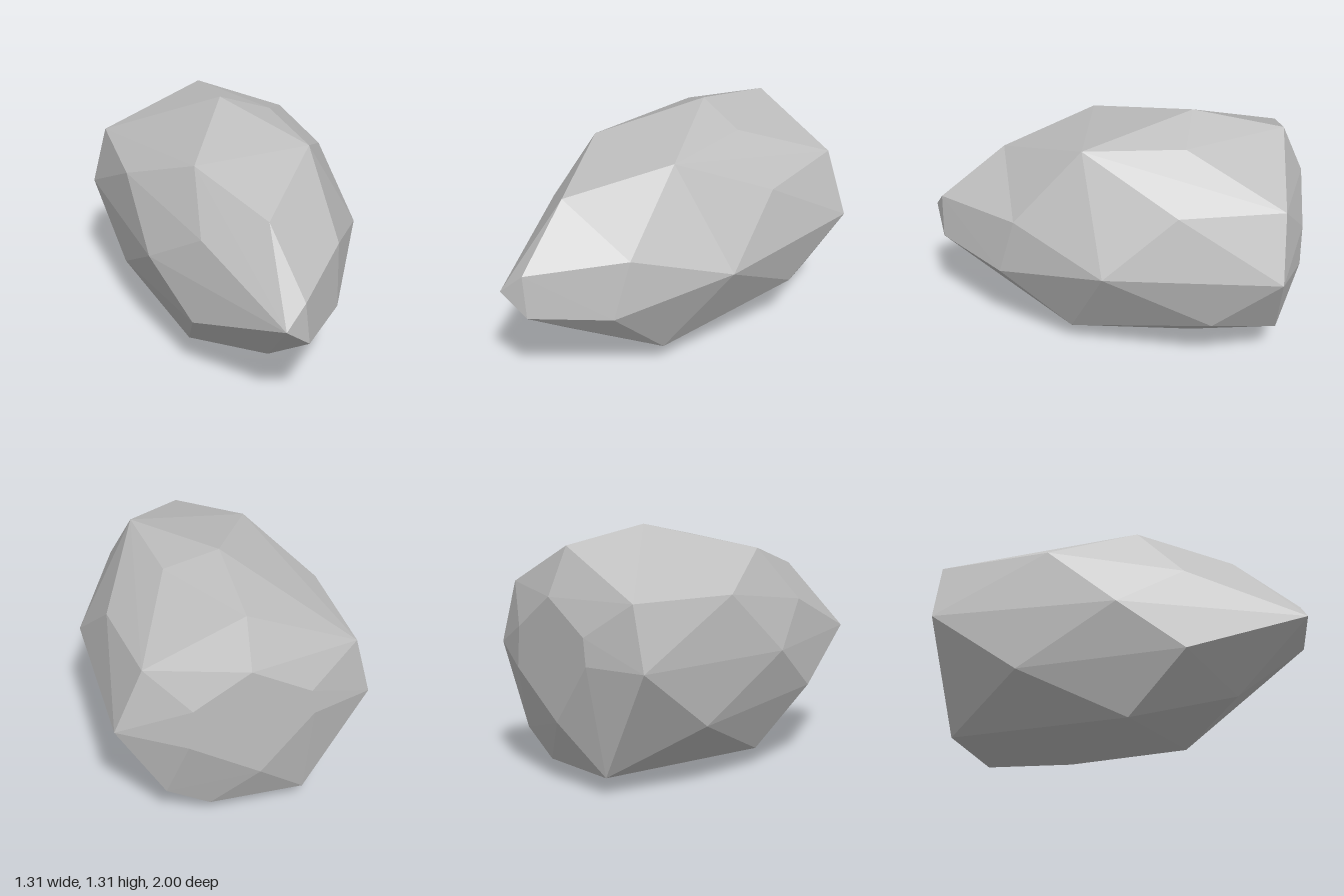
import * as THREE from 'three';
import { ConvexGeometry } from 'three/addons/geometries/ConvexGeometry.js';

// Corners of the faceted boulder, grouped from the nose to the flat rear
const nose = [[-0.065, 0.655, 1], [0.05, 0.77, 0.945], [0.075, 0.53, 0.945]];
const shoulders = [
  [-0.03, 1.05, 0.6], [0.38, 0.815, 0.51], [0.35, 0.49, 0.6],
  [-0.03, 0.26, 0.6], [-0.39, 0.41, 0.42], [-0.33, 0.885, 0.4],
];
const waist = [
  [0.33, 1.22, 0.15], [0.655, 0.655, 0.03], [0.33, 0.13, 0.22],
  [-0.33, 0.09, 0.09], [-0.54, 0.655, 0.09], [-0.29, 1.175, 0.13],
];
const body = [
  [0, 1.31, -0.41], [0.28, 1.22, -0.38], [0.57, 0.98, -0.35], [0.57, 0.33, -0.54],
  [0.29, 0.1, -0.44], [0, 0, -0.41], [-0.57, 0.33, -0.44], [-0.57, 0.98, -0.28],
];
const rearRing = [
  [0, 1.22, -0.89], [0.51, 1, -0.89], [0.655, 0.655, -0.89], [0.4, 0.22, -0.89],
  [0.17, 0.09, -0.89], [-0.33, 0.09, -0.89], [-0.655, 0.655, -0.89], [-0.57, 0.98, -0.89],
];
const rearCap = [
  [0, 0.97, -1], [0.29, 0.79, -1], [0.31, 0.57, -1],
  [-0.06, 0.34, -1], [-0.33, 0.66, -1], [-0.31, 0.8, -1],
];

// Swap the ridge a-b between corners c and d for a shallow valley c-d
function flipEdge(geometry, a, b, c, d) {
  const pos = geometry.attributes.position;
  const find = (start, p) => [start, start + 1, start + 2].find((i) =>
    Math.hypot(pos.getX(i) - p[0], pos.getY(i) - p[1], pos.getZ(i) - p[2]) < 1e-4);
  for (let t = 0; t < pos.count; t += 3) {
    const [ia, ib, ic, id] = [a, b, c, d].map((p) => find(t, p));
    if (ia === undefined || ib === undefined) continue;
    if (ic !== undefined) pos.setXYZ(ib, ...d);
    else if (id !== undefined) pos.setXYZ(ia, ...c);
  }
  geometry.computeVertexNormals();
}

export function createModel() {
  const group = new THREE.Group();
  group.name = 'rock';

  const stone = new THREE.MeshStandardMaterial({ color: 0xbfbfbf });
  stone.name = 'light grey stone';
  stone.flatShading = true;

  // Hull wrapped around all corner rings, with one dent on the upper front
  const corners = [nose, shoulders, waist, body, rearRing, rearCap]
    .flat()
    .map(([x, y, z]) => new THREE.Vector3(x, y, z));
  const hull = new ConvexGeometry(corners);
  flipEdge(hull, nose[1], waist[0], shoulders[0], shoulders[1]);

  const boulder = new THREE.Mesh(hull, stone);
  boulder.name = 'boulder';
  group.add(boulder);

  return group;
}
